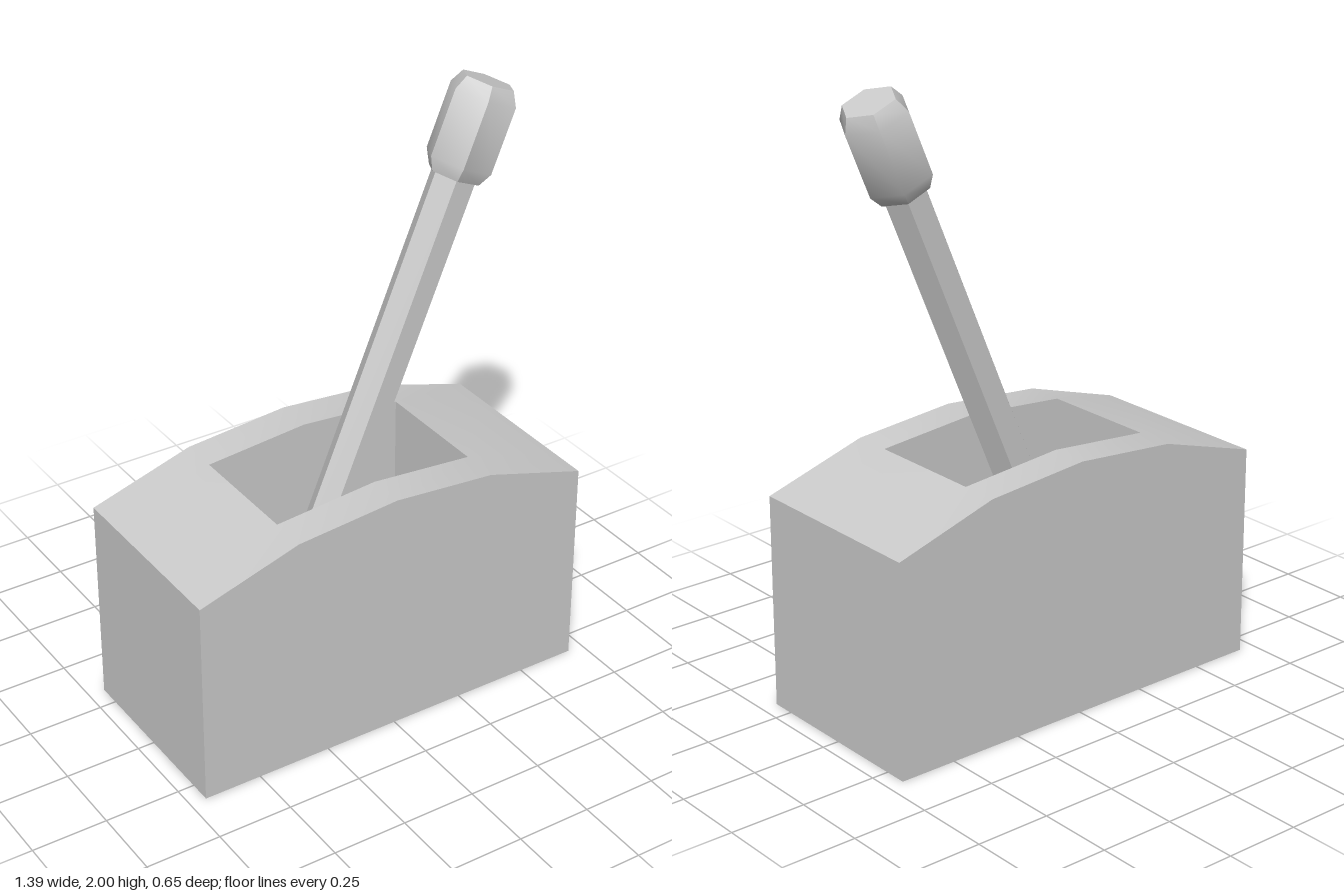
import * as THREE from 'three';
import { toCreasedNormals } from 'three/addons/utils/BufferGeometryUtils.js';

const material = new THREE.MeshStandardMaterial({ color: 0xcccccc });
const CREASE = 0.5;

function addMesh(parent, name, geometry) {
  const mesh = new THREE.Mesh(toCreasedNormals(geometry, CREASE), material);
  mesh.name = name;
  parent.add(mesh);
  return mesh;
}

// Housing with a gently arched top and a rectangular slot sunk into it
function housingGeometry() {
  const crown = [[-0.695, 0.705], [-0.35, 0.81], [0, 0.84], [0.35, 0.81], [0.695, 0.705]];
  const Z = 0.325, slotZ = 0.2, slotX = 0.35, floorY = 0.4;
  const endX = crown[4][0], endY = crown[4][1], slotY = crown[3][1];
  const pos = [];
  // Each quad is repeated with a half turn about y, which keeps its winding
  const quad = (a, b, c, d) => {
    for (const s of [1, -1]) {
      for (const [x, y, z] of [a, b, c, a, c, d]) pos.push(s * x, y, s * z);
    }
  };
  for (let i = 0; i < 4; i++) {
    const [x0, y0] = crown[i], [x1, y1] = crown[i + 1];
    // outer long wall and the rim strip above it
    quad([x0, 0, Z], [x1, 0, Z], [x1, y1, Z], [x0, y0, Z]);
    quad([x0, y0, Z], [x1, y1, Z], [x1, y1, slotZ], [x0, y0, slotZ]);
    // long wall inside the slot
    if (i === 1 || i === 2) {
      quad([x1, floorY, slotZ], [x0, floorY, slotZ], [x0, y0, slotZ], [x1, y1, slotZ]);
    }
  }
  // sloped top beyond the slot, end wall, slot end wall
  quad([slotX, slotY, slotZ], [endX, endY, slotZ], [endX, endY, -slotZ], [slotX, slotY, -slotZ]);
  quad([endX, 0, Z], [endX, 0, -Z], [endX, endY, -Z], [endX, endY, Z]);
  quad([slotX, floorY, -slotZ], [slotX, floorY, slotZ], [slotX, slotY, slotZ], [slotX, slotY, -slotZ]);
  // slot floor and underside, one half each
  quad([0, floorY, slotZ], [slotX, floorY, slotZ], [slotX, floorY, -slotZ], [0, floorY, -slotZ]);
  quad([0, 0, -Z], [endX, 0, -Z], [endX, 0, Z], [0, 0, Z]);

  const g = new THREE.BufferGeometry();
  g.setAttribute('position', new THREE.Float32BufferAttribute(pos, 3));
  return g;
}

export function createModel() {
  const model = new THREE.Group();
  model.name = 'leverSwitch';
  addMesh(model, 'housing', housingGeometry());

  // Lever leaning towards +x, its axis crossing x = 0 at the pivot height
  const lever = new THREE.Group();
  lever.name = 'lever';
  lever.position.set(0, 0.71, 0);
  lever.rotation.z = -0.4;
  model.add(lever);

  const bottom = -0.37, knobStart = 1.06, knobEnd = 1.364;
  const shaft = new THREE.CylinderGeometry(0.073, 0.073, knobStart - bottom, 6, 1, false, Math.PI / 2);
  shaft.translate(0, (knobStart + bottom) / 2, 0);
  addMesh(lever, 'shaft', shaft);

  // Six-sided knob with bevelled ends
  const profile = [
    [0, knobStart], [0.086, knobStart], [0.111, knobStart + 0.045],
    [0.111, knobEnd - 0.045], [0.086, knobEnd], [0, knobEnd],
  ].map(([r, y]) => new THREE.Vector2(r, y));
  addMesh(lever, 'knob', new THREE.LatheGeometry(profile, 6, Math.PI / 2));

  return model;
}
